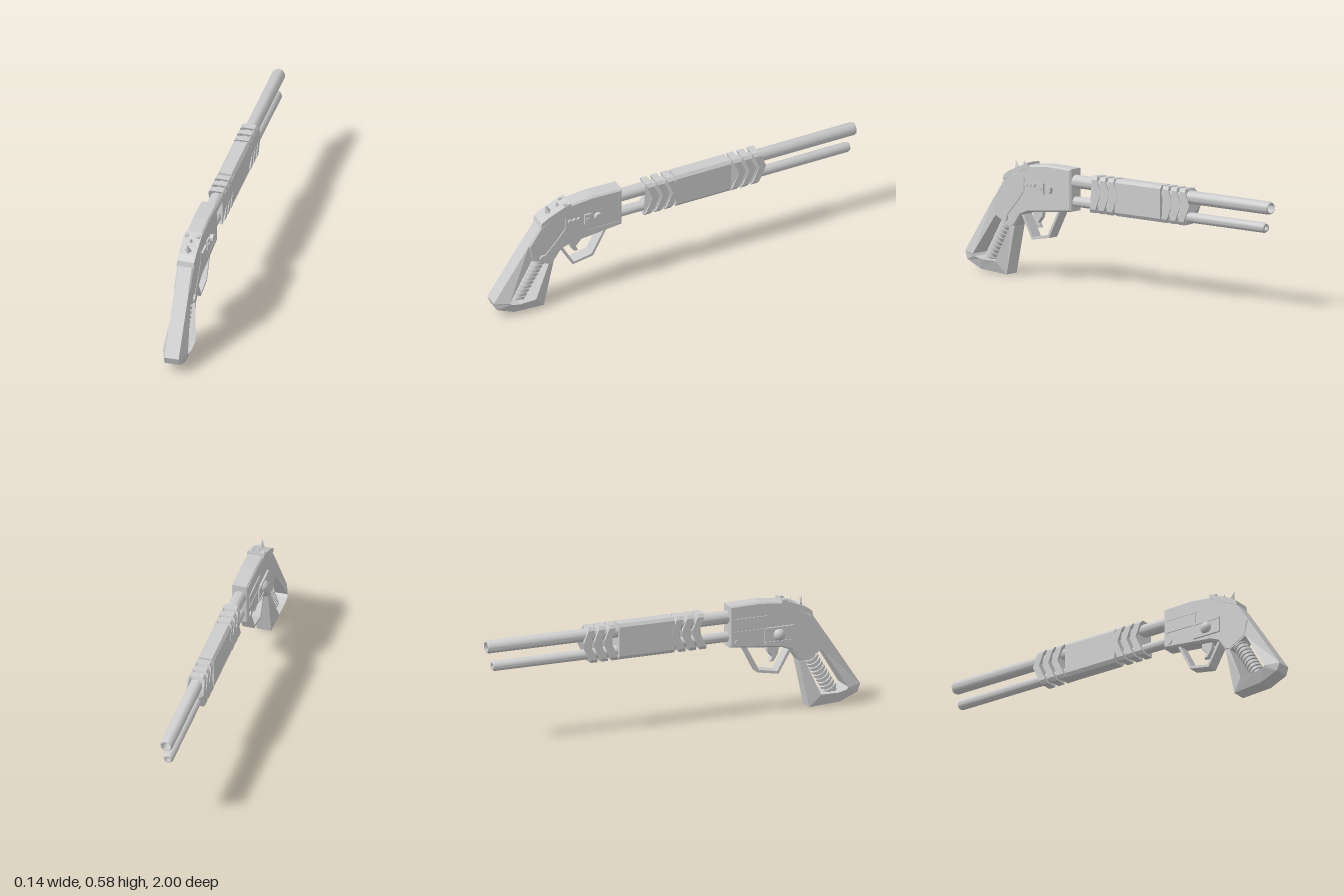
import * as THREE from 'three';
import { toCreasedNormals } from 'three/addons/utils/BufferGeometryUtils.js';

const smooth = new THREE.MeshStandardMaterial({ color: 0xcccccc, side: THREE.DoubleSide });
const flat = new THREE.MeshStandardMaterial({ color: 0xcccccc, flatShading: true, side: THREE.DoubleSide });

export function createModel() {
  const root = new THREE.Group();
  const add = (name, geo, mat = flat) => {
    const m = new THREE.Mesh(geo, mat);
    m.name = name;
    root.add(m);
    return m;
  };
  const shapeOf = (pts) => new THREE.Shape(pts.map((p) => new THREE.Vector2(p[0], p[1])));

  // Side profile in (z, y), extruded to a total width across x
  const slab = (pts, width, bevel = 0, x = 0) => {
    const depth = width - 2 * bevel;
    const g = new THREE.ExtrudeGeometry(shapeOf(pts), {
      depth, bevelEnabled: bevel > 0, bevelThickness: bevel, bevelSize: bevel, bevelOffset: -bevel, bevelSegments: 1,
    });
    return g.translate(0, 0, -depth / 2).rotateY(-Math.PI / 2).translate(x, 0, 0);
  };
  const box = (name, w, h, d, x, y, z) => add(name, new THREE.BoxGeometry(w, h, d).translate(x, y, z));
  // Round stud with its axis along x
  const stud = (name, r, len, x, y, z, sides = 16) =>
    add(name, toCreasedNormals(new THREE.CylinderGeometry(r, r, len, sides).rotateZ(Math.PI / 2), 0.6), smooth)
      .position.set(x, y, z);

  // Barrels: hollow lathes along z with chamfered muzzles
  const barrel = (name, r, bore, y, end, deep) => {
    const start = 0.32, len = start - end;
    const prof = [[0, 0], [r, 0], [r, len - 0.012], [r - 0.006, len], [bore, len], [bore, len - deep], [0, len - deep]];
    const g = new THREE.LatheGeometry(prof.map((p) => new THREE.Vector2(...p)), 24);
    g.rotateX(-Math.PI / 2).translate(0, y, start);
    add(name, toCreasedNormals(g, 0.6), smooth);
  };
  barrel('upperBarrel', 0.033, 0.024, 0.509, -1, 0.25);
  barrel('magazineTube', 0.026, 0.013, 0.408, -0.968, 0.02);

  // Forend: chamfered block with three chevron bands at each end
  const chevron = (y) => (y > 0.47 ? -0.035 * (0.555 - y) / 0.085 : -0.035 + 0.045 * (0.47 - y) / 0.1);
  const band = (name, z0, width, grow, bent) => {
    const half = [[0.03, 0.37], [0.042, 0.388], [0.042, 0.47], [0.042, 0.537], [0.03, 0.553]]
      .map(([x, y]) => [x + grow, y]);
    const pts = [...half, ...half.slice().reverse().map(([x, y]) => [-x, y])];
    const g = new THREE.ExtrudeGeometry(shapeOf(pts), { depth: width, bevelEnabled: false });
    g.translate(0, 0, z0 - width);
    const p = g.attributes.position;
    if (bent) for (let i = 0; i < p.count; i++) p.setZ(i, p.getZ(i) + chevron(p.getY(i)));
    g.computeVertexNormals();
    add(name, g);
  };
  band('forendBlock', 0, 0.3, 0, false);
  for (const start of [0.165, -0.31])
    for (let i = 0; i < 3; i++) band('forendBand', start - i * 0.056, 0.037, 0.002, true);

  // Receiver, running down into the neck of the grip
  add('receiver', slab([
    [0.297, 0.36], [0.58, 0.33], [0.63, 0.31], [0.672, 0.25], [0.70, 0.245], [0.795, 0.295],
    [0.81, 0.38], [0.742, 0.48], [0.58, 0.565], [0.46, 0.577], [0.297, 0.573],
  ], 0.084, 0.008));

  // Grip: a loop of four-point sections around an open window; [outer z, y, half width, inner z, y, half width]
  const loop = [
    [0.81, 0.38, 0.037, 0.795, 0.295, 0.041],
    [1.0, 0.095, 0.037, 0.925, 0.09, 0.064],
    [0.985, 0.055, 0.04, 0.915, 0.078, 0.064],
    [0.89, 0.015, 0.042, 0.87, 0.068, 0.064],
    [0.725, 0.003, 0.037, 0.78, 0.068, 0.062],
    [0.672, 0.25, 0.037, 0.70, 0.245, 0.041],
  ].map(([oz, oy, ow, iz, iy, iw]) => [[ow, oy, oz], [iw, iy, iz], [-iw, iy, iz], [-ow, oy, oz]]);
  const verts = [];
  loop.forEach((s, i) => {
    const t = loop[(i + 1) % loop.length];
    for (let j = 0; j < 4; j++) {
      const k = (j + 1) % 4;
      verts.push(...s[j], ...t[j], ...t[k], ...s[j], ...t[k], ...s[k]);
    }
  });
  const gripGeo = new THREE.BufferGeometry();
  gripGeo.setAttribute('position', new THREE.Float32BufferAttribute(verts, 3));
  gripGeo.computeVertexNormals();
  add('gripFrame', gripGeo);

  // Ribbed core inside the grip window
  const top = new THREE.Vector3(0, 0.285, 0.728), low = new THREE.Vector3(0, 0.06, 0.862);
  const axis = top.clone().sub(low);
  const turn = new THREE.Quaternion().setFromUnitVectors(new THREE.Vector3(0, 1, 0), axis.clone().normalize());
  const onAxis = (name, r, h, t) => {
    const m = add(name, toCreasedNormals(new THREE.CylinderGeometry(r, r, h, 20), 0.6), smooth);
    m.quaternion.copy(turn);
    m.position.lerpVectors(low, top, t);
  };
  onAxis('gripCore', 0.028, axis.length(), 0.5);
  for (let i = 0; i < 10; i++) onAxis('gripRib', 0.037, 0.014, 0.1 + i * 0.09);

  // Trigger guard strip and hooked trigger
  add('triggerGuard', slab([
    [0.635, 0.315], [0.563, 0.193], [0.45, 0.213], [0.378, 0.35], [0.392, 0.35],
    [0.458, 0.226], [0.557, 0.207], [0.618, 0.315],
  ], 0.06));
  add('trigger', slab([
    [0.58, 0.35], [0.568, 0.29], [0.545, 0.255], [0.522, 0.255], [0.535, 0.28], [0.51, 0.31], [0.505, 0.35],
  ], 0.024, 0.004));

  // Sloping rear plate with thorn-like sights
  add('rearPlate', slab([
    [0.745, 0.475], [0.738, 0.502], [0.705, 0.525], [0.58, 0.577], [0.575, 0.555],
  ], 0.088));
  const thorn = (name, r, h, y, z, tilt) => {
    const m = add(name, new THREE.ConeGeometry(r, h, 4));
    m.position.set(0, y, z);
    m.rotation.x = tilt;
  };
  thorn('rearThorn', 0.03, 0.075, 0.54, 0.687, 0.3);
  thorn('frontThorn', 0.022, 0.06, 0.55, 0.632, 0.3);
  for (const s of [1, -1]) box('sightBase', 0.016, 0.014, 0.035, s * 0.03, 0.567, 0.595);

  // Left side: buttons, latch plate, selector and pivot pin joined by a bent rod
  for (let i = 0; i < 3; i++) stud('smallButton', 0.011, 0.014, 0.045, 0.47, 0.585 - i * 0.024, 12);
  box('latchPlate', 0.01, 0.055, 0.036, 0.045, 0.458, 0.488);
  stud('latchScrew', 0.009, 0.02, 0.045, 0.458, 0.488, 12);
  stud('selectorKnob', 0.02, 0.03, 0.046, 0.458, 0.433);
  stud('pivotPin', 0.021, 0.02, 0.041, 0.29, 0.732);
  const rod = new THREE.CurvePath();
  const rodPts = [[0.5, 0.607], [0.435, 0.607], [0.385, 0.645], [0.29, 0.732]]
    .map(([y, z]) => new THREE.Vector3(0.041, y, z));
  for (let i = 0; i < 3; i++) rod.add(new THREE.LineCurve3(rodPts[i], rodPts[i + 1]));
  add('linkRod', new THREE.TubeGeometry(rod, 24, 0.005, 6), smooth);
  box('lowerSeam', 0.004, 0.006, 0.16, 0.042, 0.385, 0.4);

  // Right side: framed dome, ejection panel and pin
  box('domeFrame', 0.012, 0.08, 0.16, -0.042, 0.4, 0.56);
  const dome = add('dome', new THREE.SphereGeometry(0.034, 16, 6, 0, Math.PI * 2, 0, Math.PI / 2).rotateZ(Math.PI / 2), smooth);
  dome.position.set(-0.038, 0.4, 0.56);
  for (const s of [1, -1]) box('domeRail', 0.02, 0.012, 0.15, -0.042, 0.4 + s * 0.036, 0.56);
  box('ejectionPanel', 0.005, 0.06, 0.17, -0.042, 0.47, 0.41);
  for (const s of [1, -1]) box('panelRim', 0.008, 0.006, 0.18, -0.043, 0.47 + s * 0.032, 0.41);
  stud('receiverPin', 0.014, 0.012, -0.043, 0.385, 0.335);

  return root;
}
